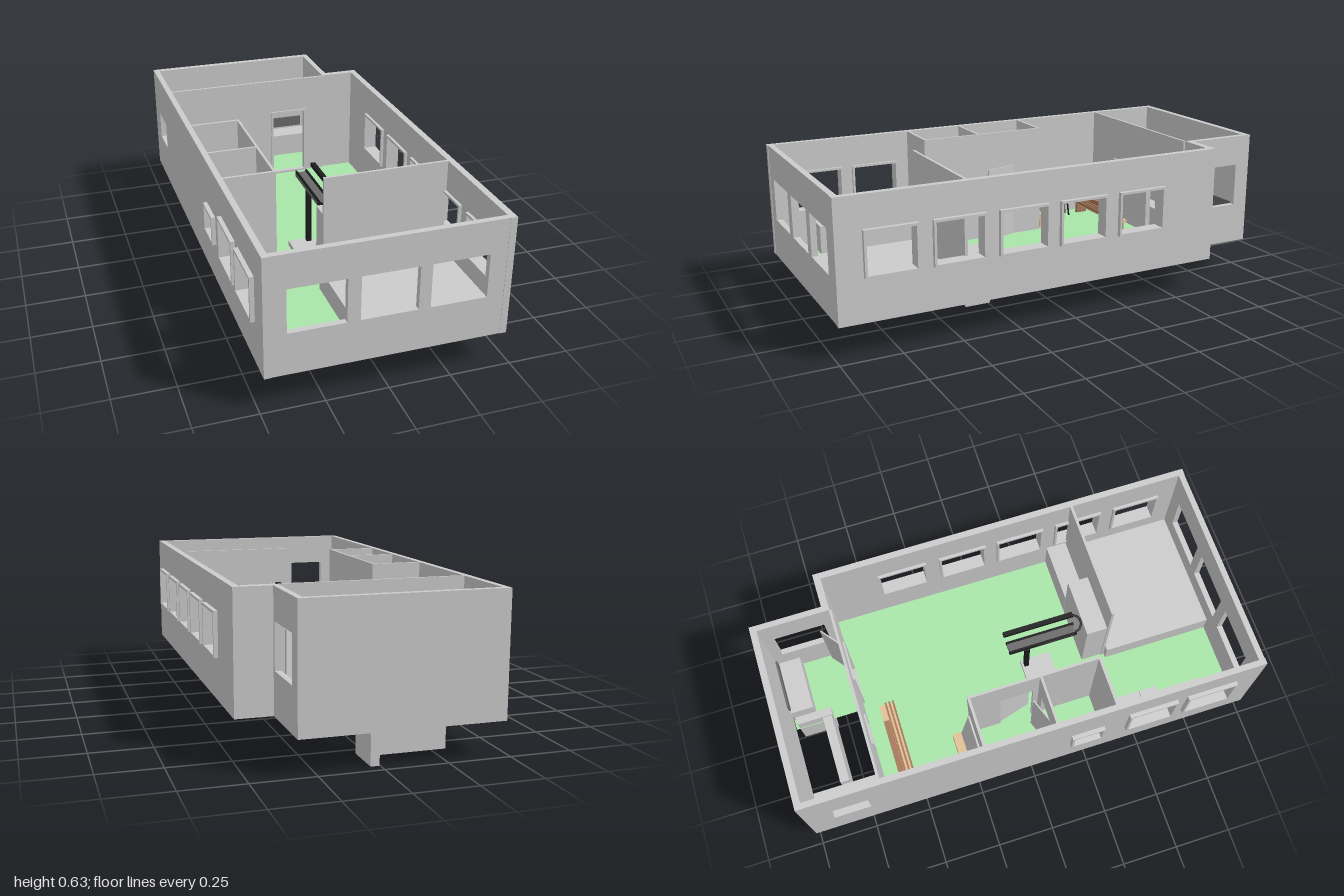
import * as THREE from 'three';

const FLOOR = 0.14, TOP = 0.635;
const mat = (color) => new THREE.MeshStandardMaterial({ color, flatShading: true });
const grey = mat(0xcccccc), wood = mat(0xa8785a), tan = mat(0xe0bf95);
const black = mat(0x1c1c1c), dark = mat(0x6a6a6a), red = mat(0x8a1420);
const green = mat(0xa8e6a8);
green.side = THREE.DoubleSide;

export function createModel() {
  const root = new THREE.Group();

  const add = (name, geometry, material = grey, parent = root) => {
    const mesh = new THREE.Mesh(geometry, material);
    mesh.name = name;
    parent.add(mesh);
    return mesh;
  };

  // Box given by its limits on each axis
  const box = (name, x0, x1, y0, y1, z0, z1, material, parent) => {
    const mesh = add(name, new THREE.BoxGeometry(x1 - x0, y1 - y0, z1 - z0), material, parent);
    mesh.position.set((x0 + x1) / 2, (y0 + y1) / 2, (z0 + z1) / 2);
    return mesh;
  };

  const rect = (Type, [a, b, y0, y1]) => {
    const p = new Type();
    p.moveTo(a, y0);
    p.lineTo(b, y0);
    p.lineTo(b, y1);
    p.lineTo(a, y1);
    p.closePath();
    return p;
  };

  // Panel with rectangular openings, running along x or z; lo..hi is its thickness
  const panel = (name, axis, outline, lo, hi, openings = []) => {
    const shape = rect(THREE.Shape, outline);
    shape.holes = openings.map((o) => rect(THREE.Path, o));
    const g = new THREE.ExtrudeGeometry(shape, { depth: hi - lo, bevelEnabled: false });
    if (axis === 'x') g.translate(0, 0, lo);
    else g.rotateY(-Math.PI / 2).translate(hi, 0, 0);
    return add(name, g);
  };

  // Frame lining an opening and standing proud of the wall
  const frame = (name, axis, [a, b, y0, y1], lo, hi, t = 0.01) =>
    panel(name, axis, [a, b, y0, y1], lo, hi, [[a + t, b - t, y0 + t, y1 - t]]);

  // Thin door leaf between two floor points
  const leaf = (name, x0, z0, x1, z1, y1 = 0.475) => {
    const g = new THREE.BoxGeometry(Math.hypot(x1 - x0, z1 - z0), y1 - FLOOR, 0.006);
    const mesh = add(name, g);
    mesh.position.set((x0 + x1) / 2, (y1 + FLOOR) / 2, (z0 + z1) / 2);
    mesh.rotation.y = -Math.atan2(z1 - z0, x1 - x0);
  };

  // Floors
  const floor = (name, x0, x1, z0, z1) => {
    const g = new THREE.PlaneGeometry(x1 - x0, z1 - z0).rotateX(-Math.PI / 2);
    add(name, g, green).position.set((x0 + x1) / 2, FLOOR + 0.002, (z0 + z1) / 2);
  };
  floor('mainFloor', -0.455, 0.45, -0.66, 0.965);
  floor('backRoomFloor', 0, 0.3, -0.97, -0.66);
  box('stairLanding', -0.455, -0.31, FLOOR, 0.155, -0.97, -0.66);

  // Outer walls with their windows
  const winY = [0.317, 0.504];
  const rightWindows = [[0.67, 0.885], [0.395, 0.612], [0.12, 0.337], [-0.147, 0.068], [-0.427, -0.207]]
    .map((w) => [...w, ...winY]);
  const leftWindows = [[0.665, 0.885, ...winY], [0.405, 0.62, ...winY], [0.155, 0.3, 0.32, 0.445]];
  const inset = ([a, b, c, d]) => [a + 0.01, b - 0.01, c + 0.01, d - 0.01];

  panel('eastWall', 'z', [-0.69, 0.99, FLOOR, TOP], 0.45, 0.478, rightWindows.map(inset));
  panel('westWall', 'z', [-1, 0.99, FLOOR, TOP], -0.48, -0.455,
    [...leftWindows.map(inset), [-0.89, -0.73, 0.32, 0.445]]);
  panel('frontWall', 'x', [-0.455, 0.45, FLOOR, TOP], 0.963, 0.988,
    [[-0.393, -0.168], [-0.117, 0.108], [0.155, 0.382]].map((w) => [...w, 0.315, 0.496]));
  box('backWall', -0.455, 0.325, FLOOR, TOP, -1, -0.972);
  panel('backRoomSideWall', 'z', [-0.972, -0.69, FLOOR, TOP], 0.3, 0.325,
    [[-0.93, -0.705, ...winY]]);
  box('notchWall', 0.3, 0.45, FLOOR, TOP, -0.69, -0.66);
  rightWindows.forEach((w) => frame('eastWindowFrame', 'z', w, 0.437, 0.496));
  leftWindows.forEach((w) => frame('westWindowFrame', 'z', w, -0.498, -0.443));

  // Inner back wall with a window, a doorway and its open door
  const backWindow = [-0.255, -0.12, 0.317, 0.442], doorway = [0.03, 0.21, FLOOR + 0.002, 0.475];
  panel('innerBackWall', 'x', [-0.455, 0.3, 0.13, TOP], -0.663, -0.652, [inset(backWindow), inset(doorway)]);
  frame('innerWindowFrame', 'x', backWindow, -0.668, -0.644);
  frame('innerDoorFrame', 'x', doorway, -0.668, -0.644);
  leaf('backDoor', 0.21, -0.668, 0.29, -0.73);

  // Stairwell walls reaching the ground
  box('stairDivider', -0.31, 0, 0, 0.2, -0.84, -0.8);
  box('stairSideWall', 0.003, 0.038, 0, 0.2, -0.955, -0.795);

  // Vanity in the back room
  box('vanity', 0.045, 0.29, FLOOR, 0.25, -0.965, -0.865);
  box('vanityMirror', 0.055, 0.28, 0.26, 0.31, -0.968, -0.96, dark);

  // Small rooms along the west wall
  const LOW = 0.117;
  for (const z of [-0.22, 0.345])
    box('roomEndWall', -0.462, -0.245, LOW, TOP, z - 0.006, z + 0.006);
  panel('roomDivider', 'x', [-0.462, -0.245, LOW, TOP], 0.084, 0.094, [[-0.4, -0.29, FLOOR, 0.475]]);
  panel('roomSideWall', 'z', [-0.226, 0.351, LOW, TOP], -0.25, -0.24, [[-0.085, 0.06, FLOOR, 0.475]]);
  leaf('roomDoor', -0.24, -0.085, -0.2, 0.06);
  leaf('dividerDoor', -0.4, 0.088, -0.29, 0.047);

  // Bedroom partition, cabinets and bed
  box('bedroomPartition', -0.08, 0.45, LOW, TOP, 0.457, 0.469);
  box('tallCabinet', -0.075, 0.18, LOW, 0.465, 0.365, 0.457);
  box('lowCabinet', 0.182, 0.45, LOW, 0.29, 0.365, 0.457);
  box('bed', -0.097, 0.447, 0.138, 0.235, 0.472, 0.96);

  // Kitchen units
  box('counter', -0.452, -0.335, 0.13, 0.28, 0.352, 0.61);
  box('cooker', -0.435, -0.352, 0.28, 0.3, 0.355, 0.457);
  panel('sinkRim', 'x', [-0.445, -0.34, 0.28, 0.29], 0.53, 0.6);
  box('sideboard', -0.45, -0.355, 0.138, 0.27, 0.613, 0.81);

  // Seat with leaning back against the room wall
  box('seatCushion', -0.452, -0.255, FLOOR, 0.21, -0.31, -0.235, tan);
  const back = box('seatBack', -0.45, -0.26, 0.2, 0.43, -0.253, -0.243);
  back.rotation.x = 0.17;

  // Low slatted bench with a small chest
  const bench = new THREE.Group();
  bench.name = 'bench';
  root.add(bench);
  box('benchTop', -0.425, -0.025, 0.185, 0.195, -0.585, -0.525, tan, bench);
  for (const z of [-0.555, -0.538, -0.521])
    box('slat', -0.43, -0.02, 0.195, 0.208, z - 0.004, z + 0.004, wood, bench);
  for (const x of [-0.41, -0.06]) box('benchLeg', x, x + 0.015, 0.135, 0.185, -0.58, -0.525, wood, bench);
  box('chest', -0.37, -0.11, 0.195, 0.23, -0.585, -0.56, wood, bench);

  // Round stool with splayed legs
  const stool = new THREE.Group();
  stool.name = 'stool';
  stool.position.set(-0.397, 0, -0.447);
  root.add(stool);
  const seat = add('stoolSeat', new THREE.SphereGeometry(0.03, 16, 10), red, stool);
  seat.position.y = 0.28;
  seat.scale.y = 0.6;
  for (let i = 0; i < 4; i++) {
    const a = Math.PI / 4 + i * Math.PI / 2;
    const path = new THREE.LineCurve3(new THREE.Vector3(0.012 * Math.cos(a), 0.275, 0.012 * Math.sin(a)),
      new THREE.Vector3(0.03 * Math.cos(a), 0.133, 0.03 * Math.sin(a)));
    add('stoolLeg', new THREE.TubeGeometry(path, 1, 0.004, 6), black, stool);
  }

  // Pedestal stand with a raised bar and looped cable
  box('standBase', -0.11, 0, LOW, 0.165, 0.09, 0.23);
  box('standPost', -0.035, -0.015, 0.165, 0.44, 0.1, 0.12, black);
  box('standShelf', -0.055, -0.003, 0.44, 0.458, 0.02, 0.32, dark);
  for (const x of [-0.055, -0.01]) box('shelfRail', x, x + 0.008, 0.445, 0.465, 0.018, 0.325, black);
  box('raisedBar', 0.016, 0.036, 0.475, 0.492, 0.015, 0.33, black);
  const loop = new THREE.CatmullRomCurve3([[0.026, 0.482, 0.32], [0.015, 0.48, 0.345], [-0.01, 0.465, 0.358],
    [-0.035, 0.455, 0.345], [-0.045, 0.45, 0.315]].map((p) => new THREE.Vector3(...p)));
  add('cable', new THREE.TubeGeometry(loop, 16, 0.005, 6), black);

  return root;
}
